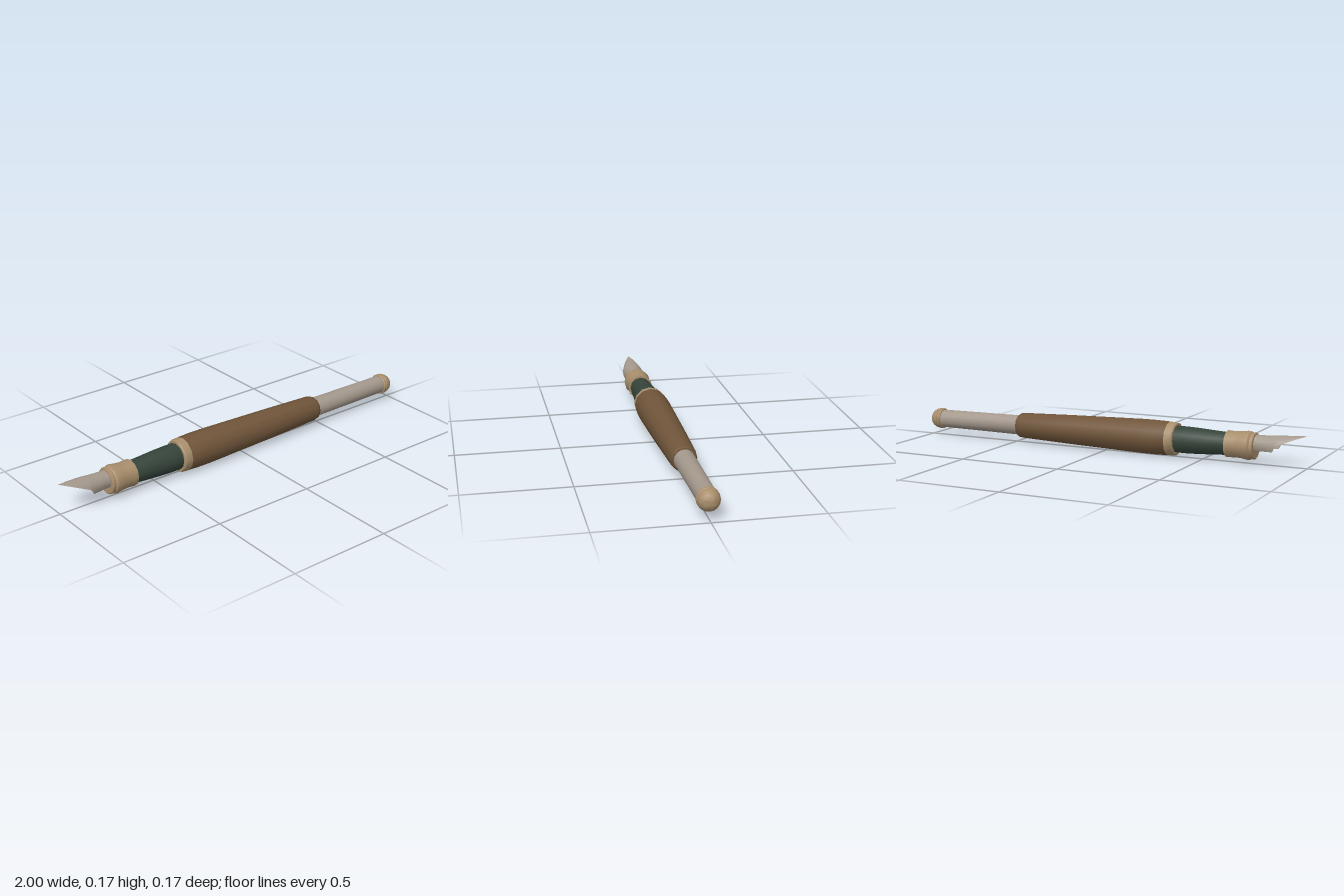
import * as THREE from 'three';
import { toCreasedNormals } from 'three/addons/utils/BufferGeometryUtils.js';

const AXIS_Y = 0.083;

export function createModel() {
  const pen = new THREE.Group();
  pen.name = 'dipPen';

  const material = (name, color) => {
    const m = new THREE.MeshStandardMaterial({ color });
    m.name = name;
    return m;
  };
  const wood = material('brown wood', 0x70553a);
  const brass = material('brass', 0xa88e6c);
  const green = material('dark green', 0x35443a);
  const steel = material('warm steel', 0xa4988c);
  const nibSteel = steel.clone();
  nibSteel.side = THREE.DoubleSide;

  // Turned part along x; profile is a list of [x, radius], from -x to +x
  const turned = (name, profile, mat, sides = 12) => {
    const points = profile.map(([x, r]) => new THREE.Vector2(r, x));
    const lathe = new THREE.LatheGeometry(points, sides).rotateZ(-Math.PI / 2);
    const mesh = new THREE.Mesh(toCreasedNormals(lathe, 0.6), mat);
    mesh.name = name;
    mesh.position.y = AXIS_Y;
    pen.add(mesh);
  };

  // Brass collar that holds the nib
  turned('nibCollar', [
    [-0.755, 0], [-0.758, 0.058], [-0.755, 0.063], [-0.742, 0.063], [-0.739, 0.06],
    [-0.732, 0.067], [-0.72, 0.068], [-0.69, 0.063], [-0.66, 0.061], [-0.635, 0.063],
    [-0.62, 0.063], [-0.62, 0],
  ], brass);

  // Green grip, swelling toward the barrel
  turned('grip', [
    [-0.63, 0.053], [-0.56, 0.057], [-0.48, 0.062], [-0.42, 0.064], [-0.36, 0.064],
  ], green);

  // Brass ring and tapered wooden barrel
  turned('barrelRing', [
    [-0.37, 0], [-0.37, 0.075], [-0.365, 0.079], [-0.33, 0.081], [-0.33, 0],
  ], brass);
  turned('barrel', [
    [-0.33, 0.081], [-0.27, 0.083], [-0.2, 0.083], [-0.05, 0.079], [0.2, 0.072],
    [0.46, 0.063], [0.472, 0.06], [0.48, 0.055], [0.48, 0],
  ], wood);

  // Steel tail rod and its brass dome
  turned('tailRod', [[0.47, 0.049], [0.94, 0.045]], steel, 16);
  const dome = [];
  for (let i = 0; i <= 6; i++) {
    const a = (i / 6) * Math.PI / 2;
    dome.push([0.95 + 0.05 * Math.sin(a), 0.051 * Math.cos(a)]);
  }
  turned('endCap', [
    [0.93, 0], [0.93, 0.049], [0.934, 0.052], [0.945, 0.052], [0.948, 0.049], ...dome,
  ], brass, 16);

  // Nib: curved open sections [x, radius, half angle in degrees, top y]
  const sections = [
    [-0.74, 0.042, 128, 0.136], [-0.78, 0.043, 126, 0.136], [-0.82, 0.047, 117, 0.137],
    [-0.85, 0.051, 111, 0.139], [-0.858, 0.053, 90, 0.1395], [-0.87, 0.055, 74, 0.14],
    [-0.9, 0.049, 67, 0.142], [-0.95, 0.033, 53, 0.145], [-1, 0.0005, 40, 0.148],
  ];
  const steps = 12;
  const positions = [];
  const index = [];
  sections.forEach(([x, r, deg, top], i) => {
    for (let j = 0; j <= steps; j++) {
      const a = THREE.MathUtils.degToRad(deg) * (j / steps * 2 - 1);
      positions.push(x, top - r * (1 - Math.cos(a)), r * Math.sin(a));
      if (i > 0 && j < steps) {
        const p = (i - 1) * (steps + 1) + j;
        const q = p + steps + 1;
        index.push(p, q, p + 1, p + 1, q, q + 1);
      }
    }
  });
  const nibGeometry = new THREE.BufferGeometry();
  nibGeometry.setAttribute('position', new THREE.Float32BufferAttribute(positions, 3));
  nibGeometry.setIndex(index);
  nibGeometry.computeVertexNormals();
  const nib = new THREE.Mesh(nibGeometry, nibSteel);
  nib.name = 'nib';
  pen.add(nib);

  return pen;
}
